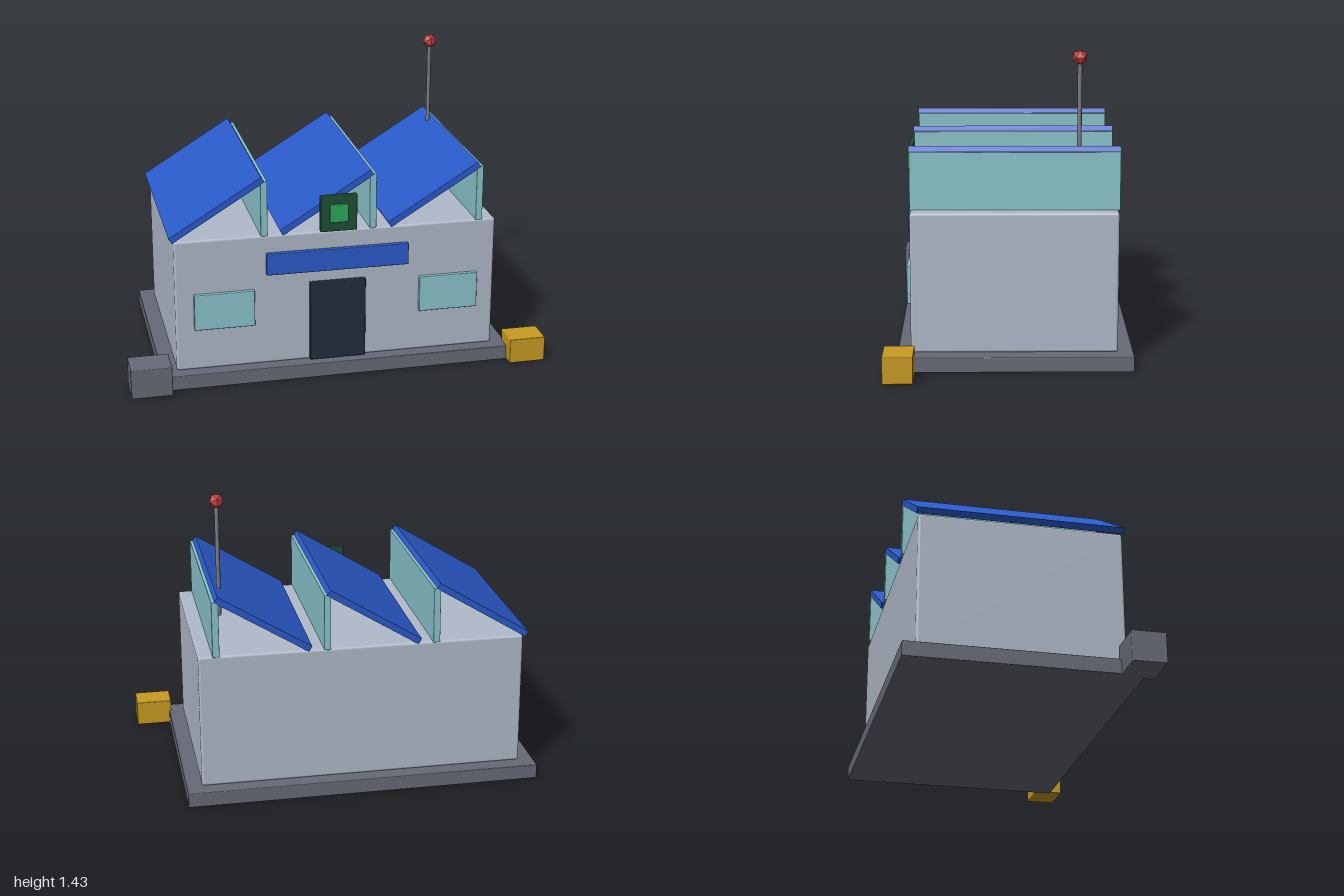
import * as THREE from 'three';
import { RoundedBoxGeometry } from 'three/addons/geometries/RoundedBoxGeometry.js';

const paint = (name, color) => {
  const m = new THREE.MeshStandardMaterial({ color });
  m.name = name;
  return m;
};

export function createModel() {
  const slate = paint('slate', 0x676a77);
  const wall = paint('wall grey', 0xafbac9);
  const blue = paint('roof blue', 0x2a5aca);
  const glass = paint('glass', 0x8ac5cd);
  const navy = paint('door navy', 0x212d3b);
  const darkGreen = paint('dark green', 0x1f5035);
  const green = paint('green', 0x30a85a);
  const yellow = paint('yellow', 0xc89b20);
  const red = paint('red', 0xca4044);
  const steel = paint('steel', 0x777d89);

  const group = new THREE.Group();
  group.name = 'factory';

  const add = (name, geometry, material, x, y, z) => {
    const mesh = new THREE.Mesh(geometry, material);
    mesh.name = name;
    mesh.position.set(x, y, z);
    group.add(mesh);
    return mesh;
  };

  // Softly bevelled box given by its limits on each axis
  const box = (name, material, [x0, x1], [y0, y1], [z0, z1], bevel = 0.004) =>
    add(name, new RoundedBoxGeometry(x1 - x0, y1 - y0, z1 - z0, 2, bevel), material,
      (x0 + x1) / 2, (y0 + y1) / 2, (z0 + z1) / 2);

  // Plinth and main hall
  box('base', slate, [-0.845, 0.832], [0, 0.07], [-0.562, 0.503]);
  box('hall', wall, [-0.773, 0.76], [0.07, 0.715], [-0.492, 0.443], 0.012);

  // Sawtooth roof: a sloping slab and an upright glazed strip per bay
  const run = 0.43, rise = 0.265;
  for (let i = 0; i < 3; i++) {
    const x = -0.787 + i * 0.515;
    const slab = add('roofSlab', new THREE.BoxGeometry(Math.hypot(run, rise), 0.03, 0.948),
      blue, x + run / 2, 0.723 + rise / 2, -0.026);
    slab.rotation.z = Math.atan2(rise, run);
    box('roofGlazing', glass, [x + 0.419, x + 0.451], [0.712, 0.978], [-0.499, 0.445], 0.002);
  }

  // Front wall details
  box('door', navy, [-0.14, 0.127], [0.075, 0.468], [0.43, 0.466]);
  box('leftWindow', glass, [0.39, 0.675], [0.275, 0.451], [0.435, 0.462]);
  box('rightWindow', glass, [-0.687, -0.402], [0.275, 0.451], [0.435, 0.462]);
  box('signBoard', blue, [-0.346, 0.332], [0.525, 0.63], [0.443, 0.47]);
  box('emblemFrame', darkGreen, [-0.094, 0.08], [0.722, 0.898], [0.454, 0.477]);
  box('emblemPanel', green, [-0.05, 0.036], [0.768, 0.855], [0.465, 0.488]);

  // Corner crates
  box('greyCrate', slate, [-1, -0.807], [0, 0.142], [0.395, 0.552]);
  box('yellowCrate', yellow, [0.822, 0.997], [0.003, 0.125], [0.423, 0.56]);

  // Mast with a faceted beacon
  add('mast', new THREE.CylinderGeometry(0.01, 0.01, 0.53, 8), steel, 0.638, 1.115, -0.315);
  const beacon = new THREE.IcosahedronGeometry(0.036, 0); // already faceted
  add('beacon', beacon, red, 0.638, 1.395, -0.315);

  return group;
}
